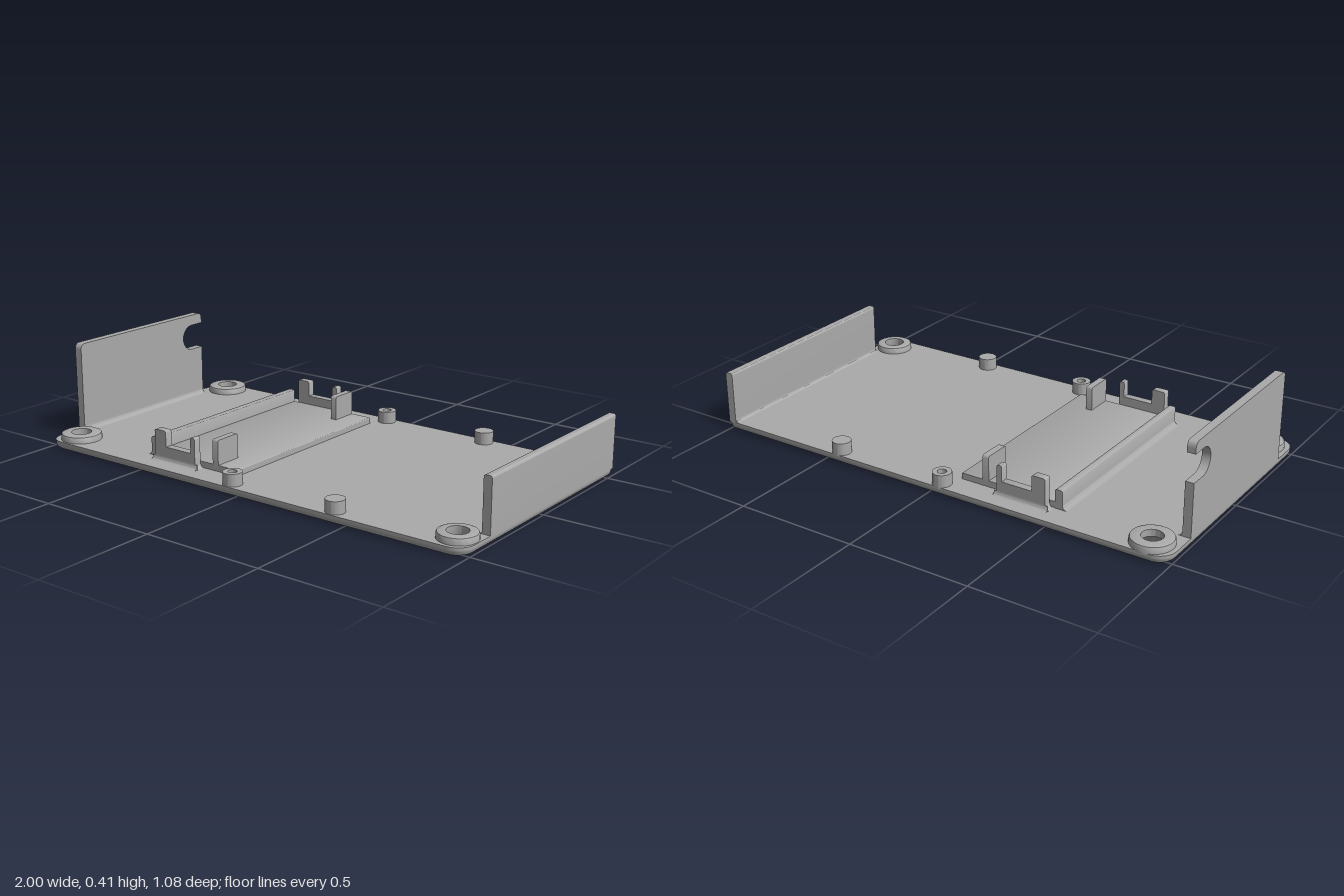
import * as THREE from 'three';
import { toCreasedNormals } from 'three/addons/utils/BufferGeometryUtils.js';

const HALF_X = 1, HALF_Z = 0.54, FLOOR = 0.035, BASE = 0.03;
// Screw holes: x, z, boss radius, countersink radius
const SCREWS = [[-0.9, -0.46, 0.083, 0.066], [-0.9, 0.45, 0.083, 0.066], [0.92, 0.45, 0.076, 0.052]];
const HOLE = 0.041;

export function createModel() {
  const model = new THREE.Group();
  model.name = 'enclosureBase';
  const grey = new THREE.MeshStandardMaterial({ color: 0xaaaaaa });
  grey.name = 'grey plastic';

  const add = (name, geo, x = 0, y = 0, z = 0) => {
    const mesh = new THREE.Mesh(toCreasedNormals(geo, 0.6), grey);
    mesh.name = name;
    mesh.position.set(x, y, z);
    model.add(mesh);
    return mesh;
  };
  const extrude = (shape, depth) =>
    new THREE.ExtrudeGeometry(shape, { depth, bevelEnabled: false, curveSegments: 10 });
  // Extrude an (x, y) shape along z, or a (z, y) shape along x
  const alongZ = (name, shape, z0, z1) => add(name, extrude(shape, z1 - z0), 0, 0, z0);
  const alongX = (name, shape, x0, x1) =>
    add(name, extrude(shape, x1 - x0).rotateY(-Math.PI / 2), x1, 0, 0);

  // Upright rectangle with rounded top corners
  const tab = (a0, a1, top, r) => {
    const s = new THREE.Shape();
    s.moveTo(a0, BASE);
    s.lineTo(a1, BASE);
    s.lineTo(a1, top - r);
    s.quadraticCurveTo(a1, top, a1 - r, top);
    s.lineTo(a0 + r, top);
    s.quadraticCurveTo(a0, top, a0, top - r);
    s.closePath();
    return s;
  };
  // Concave fillet in the corner between the floor and a wall at a
  const fillet = (a, size, dir) => {
    const s = new THREE.Shape();
    s.moveTo(a, BASE);
    s.lineTo(a + dir * size, BASE);
    s.lineTo(a + dir * size, FLOOR);
    s.quadraticCurveTo(a, FLOOR, a, FLOOR + size);
    s.closePath();
    return s;
  };

  // Floor plate: outline in (x, -z), inset to round the lower edge
  const outline = (inset) => {
    const pts = [];
    const corners = [[1, 1, 0.02], [-1, 1, 0.07], [-1, -1, 0.07], [1, -1, 0.07]];
    corners.forEach(([sx, sv, radius], k) => {
      const r = Math.max(radius - inset, 0.003);
      const cx = sx * (HALF_X - inset - r), cv = sv * (HALF_Z - inset - r);
      for (let i = 0; i <= 8; i++) {
        const a = (k + i / 8) * Math.PI / 2;
        pts.push(new THREE.Vector2(cx + r * Math.cos(a), cv + r * Math.sin(a)));
      }
    });
    return pts;
  };
  const face = (inset, side, radiusOf) => {
    const s = new THREE.Shape(outline(inset).map((p) => new THREE.Vector2(p.x, side * p.y)));
    for (const screw of SCREWS) {
      const hole = new THREE.Path();
      hole.absarc(screw[0], -side * screw[1], radiusOf(screw), 0, Math.PI * 2, true);
      s.holes.push(hole);
    }
    return new THREE.ShapeGeometry(s, 20).rotateX(-side * Math.PI / 2);
  };
  const BEVEL = 0.025;
  add('floorTop', face(0, 1, () => HOLE + 0.003), 0, FLOOR, 0);
  add('floorUnderside', face(BEVEL, -1, (s) => s[3]));

  const pos = [], index = [];
  const STEPS = 6;
  let count = 0;
  for (let j = 0; j <= STEPS + 1; j++) {
    const a = Math.min(j / STEPS, 1) * Math.PI / 2;
    const ring = outline(BEVEL * (1 - Math.sin(a)));
    const y = j > STEPS ? FLOOR : BEVEL * (1 - Math.cos(a));
    count = ring.length;
    ring.forEach((p) => pos.push(p.x, y, -p.y));
  }
  for (let j = 0; j <= STEPS; j++) {
    for (let i = 0; i < count; i++) {
      const a = j * count + i, b = j * count + (i + 1) % count;
      index.push(a, b, b + count, a, b + count, a + count);
    }
  }
  const rim = new THREE.BufferGeometry();
  rim.setAttribute('position', new THREE.Float32BufferAttribute(pos, 3));
  rim.setIndex(index);
  add('floorRim', rim);

  // Screw bosses with countersunk holes, and locating pegs
  const lathe = (name, profile, x, z) =>
    add(name, new THREE.LatheGeometry(profile.map((p) => new THREE.Vector2(...p)), 40), x, 0, z);
  for (const [x, z, r, sink] of SCREWS) {
    lathe('screwBoss', [[r, BASE], [r, 0.053], [r - 0.003, 0.06], [r - 0.01, 0.063],
      [HOLE, 0.063], [HOLE, 0.035], [sink, 0]], x, z);
  }
  for (const z of [-0.505, 0.5]) {
    lathe('hollowPeg', [[0.038, BASE], [0.038, 0.085], [0.018, 0.085], [0.018, 0.04], [0, 0.04]], -0.04, z);
    lathe('solidPeg', [[0.038, BASE], [0.038, 0.085], [0, 0.085]], 0.44, z);
  }

  // Tall end wall with a round cable notch
  const tall = new THREE.Shape();
  tall.moveTo(0.37, BASE);
  tall.lineTo(0.37, 0.38);
  tall.quadraticCurveTo(0.37, 0.405, 0.345, 0.405);
  tall.lineTo(-0.34, 0.405);
  tall.quadraticCurveTo(-0.365, 0.405, -0.365, 0.38);
  tall.lineTo(-0.365, 0.36);
  tall.lineTo(-0.3, 0.36);
  tall.absarc(-0.3, 0.305, 0.055, Math.PI / 2, -Math.PI / 2, true);
  tall.lineTo(-0.365, 0.25);
  tall.lineTo(-0.365, BASE);
  tall.closePath();
  alongX('tallEndWall', tall, -1, -0.966);
  alongZ('tallWallFillet', fillet(-0.966, 0.02, 1), -0.365, 0.37);

  // Low end wall
  alongZ('lowEndWall', tab(0.966, 1, 0.25, 0.01), -HALF_Z, 0.37);
  alongZ('lowWallFillet', fillet(0.966, 0.012, -1), -HALF_Z + 0.005, 0.37);

  // Raised tray with its side rail and corner fins
  alongZ('tray', tab(-0.49, -0.08, 0.06, 0.004), -0.435, 0.428);
  alongZ('trayRail', tab(-0.522, -0.49, 0.112, 0.01), -0.437, 0.43);
  alongZ('railFillet', fillet(-0.522, 0.022, -1), -0.437, 0.43);
  alongX('trayFin', tab(0.312, 0.428, 0.16, 0.01), -0.202, -0.174);
  alongX('trayFin', tab(-0.435, -0.322, 0.16, 0.01), -0.202, -0.174);

  // End clips: a low wall carrying a wide and a narrow upright
  for (const side of [-1, 1]) {
    const inner = side < 0 ? -0.44 : 0.432, outer = inner + side * 0.032;
    const z0 = Math.min(inner, outer), z1 = Math.max(inner, outer);
    alongZ('clipWall', tab(-0.47, -0.262, 0.096, 0.003), z0, z1);
    alongZ('clipWideUpright', tab(-0.47, -0.412, 0.16, 0.008), z0, z1);
    alongZ('clipNarrowUpright', tab(-0.284, -0.262, 0.16, 0.008), z0, z1);
    alongZ('clipFillet', fillet(-0.47, 0.022, -1), z0, z1);
    alongZ('clipFillet', fillet(-0.262, 0.022, 1), z0, z1);
    alongX('clipFillet', fillet(outer, 0.02, side), -0.482, -0.25);
  }
  return model;
}
